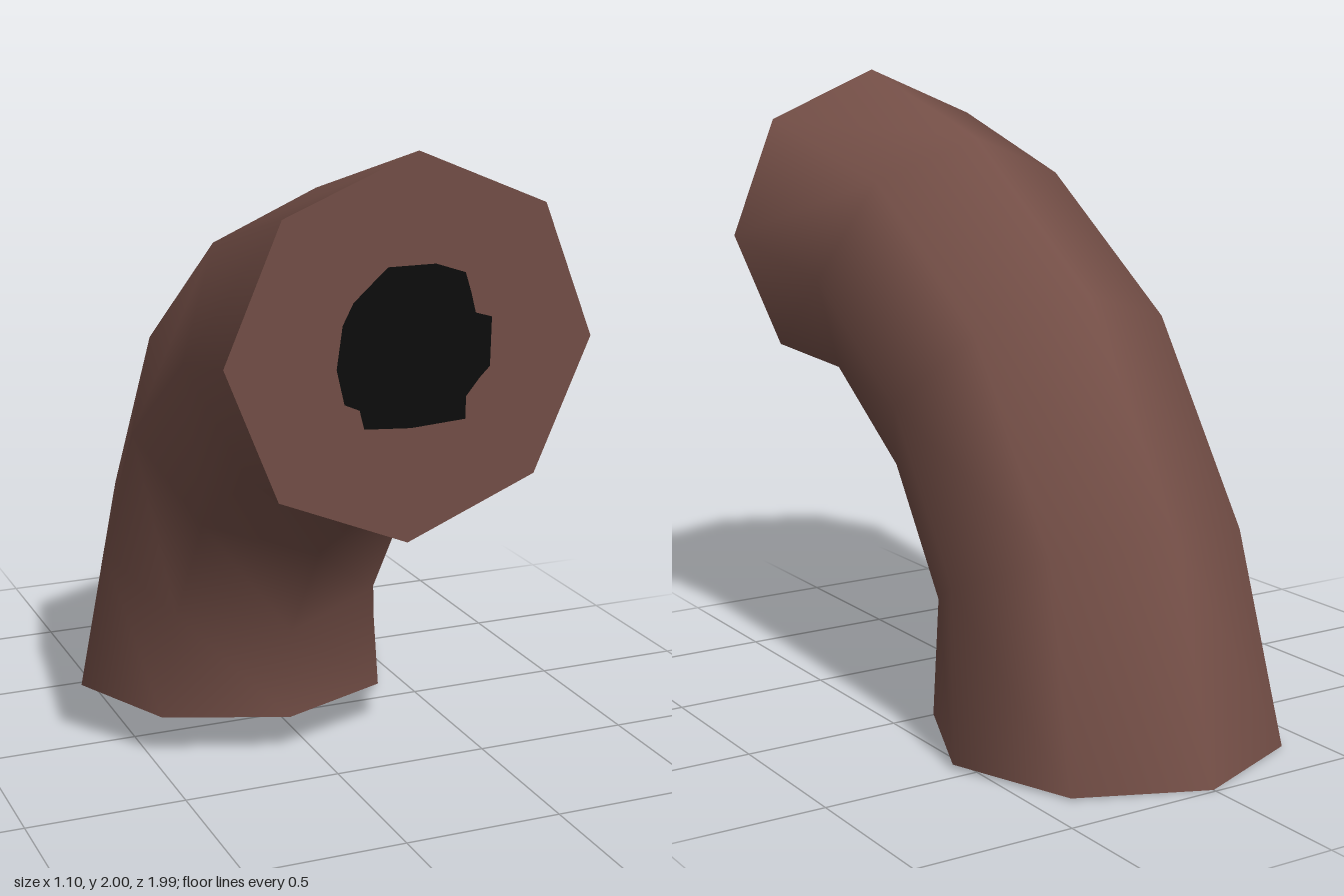
import * as THREE from 'three';

const SIDES = 8;

// Octagonal rings along the bend: [outer z, outer y, inner z, inner y]
const RINGS = [
  [1.0, 2.0, 0.97, 0.905],
  [0.3, 1.8, 0.68, 0.9],
  [-0.35, 1.36, 0.34, 0.67],
  [-0.79, 0.71, 0.11, 0.33],
  [-0.99, 0.0, 0.105, 0.03],
].map(([oz, oy, iz, iy]) => {
  const outer = new THREE.Vector3(0, oy, oz);
  const inner = new THREE.Vector3(0, iy, iz);
  return {
    center: outer.clone().add(inner).multiplyScalar(0.5),
    up: outer.clone().sub(inner).normalize(),
    radius: outer.distanceTo(inner) / 2,
  };
});

// Smooth-shaded skin joining the rings
function tubeGeometry() {
  const positions = [];
  const index = [];
  RINGS.forEach(({ center, up, radius }, i) => {
    for (let j = 0; j < SIDES; j++) {
      const a = (j / SIDES) * Math.PI * 2;
      const p = center.clone().addScaledVector(up, Math.cos(a) * radius);
      positions.push(Math.sin(a) * radius, p.y, p.z);
      if (i === RINGS.length - 1) continue;
      const k = (j + 1) % SIDES;
      const a0 = i * SIDES + j, b0 = i * SIDES + k;
      index.push(a0, b0, a0 + SIDES, b0, b0 + SIDES, a0 + SIDES);
    }
  });
  const geometry = new THREE.BufferGeometry();
  geometry.setAttribute('position', new THREE.Float32BufferAttribute(positions, 3));
  geometry.setIndex(index);
  geometry.computeVertexNormals();
  return geometry;
}

// Points of a regular polygon with a corner at the top
function polygon(radius, sides) {
  return Array.from({ length: sides }, (_, i) => {
    const a = (i / sides) * Math.PI * 2;
    return new THREE.Vector2(Math.sin(a) * radius, Math.cos(a) * radius);
  });
}

// Ragged outline of the dark bore on the front end
const RAGGED_BORE = [
  [-0.08, 0.24], [0.06, 0.24], [0.15, 0.21], [0.17, 0.15], [0.185, 0.095],
  [0.235, 0.08], [0.235, -0.06], [0.205, -0.09], [0.165, -0.14], [0.165, -0.205],
  [0, -0.215], [-0.14, -0.205], [-0.155, -0.15], [-0.2, -0.13], [-0.225, -0.03],
  [-0.21, 0.09], [-0.18, 0.15], [-0.12, 0.205],
].map(([x, y]) => new THREE.Vector2(x, y));

// Flat end face with a dark bore set into it
function endCap(name, ring, side, bore, skin, dark) {
  const group = new THREE.Group();
  group.name = name;
  const face = new THREE.Shape(polygon(ring.radius, SIDES));
  face.holes.push(new THREE.Path(bore));
  const rim = new THREE.Mesh(new THREE.ShapeGeometry(face), skin);
  rim.name = name + 'Rim';
  const hole = new THREE.Mesh(new THREE.ShapeGeometry(new THREE.Shape(bore)), dark);
  hole.name = name + 'Bore';
  group.add(rim, hole);

  const xAxis = new THREE.Vector3(side, 0, 0);
  const normal = xAxis.clone().cross(ring.up);
  group.quaternion.setFromRotationMatrix(new THREE.Matrix4().makeBasis(xAxis, ring.up, normal));
  group.position.copy(ring.center);
  return group;
}

export function createModel() {
  const skin = new THREE.MeshStandardMaterial({ color: 0x734e46 });
  skin.name = 'reddish brown';
  const dark = new THREE.MeshStandardMaterial({ color: 0x0c0c0c });
  dark.name = 'black';

  const model = new THREE.Group();
  model.name = 'pipeElbow';
  const tube = new THREE.Mesh(tubeGeometry(), skin);
  tube.name = 'bentTube';
  model.add(
    tube,
    endCap('frontEnd', RINGS[0], 1, RAGGED_BORE, skin, dark),
    endCap('bottomEnd', RINGS[RINGS.length - 1], -1, polygon(0.23, 20), skin, dark),
  );
  return model;
}
